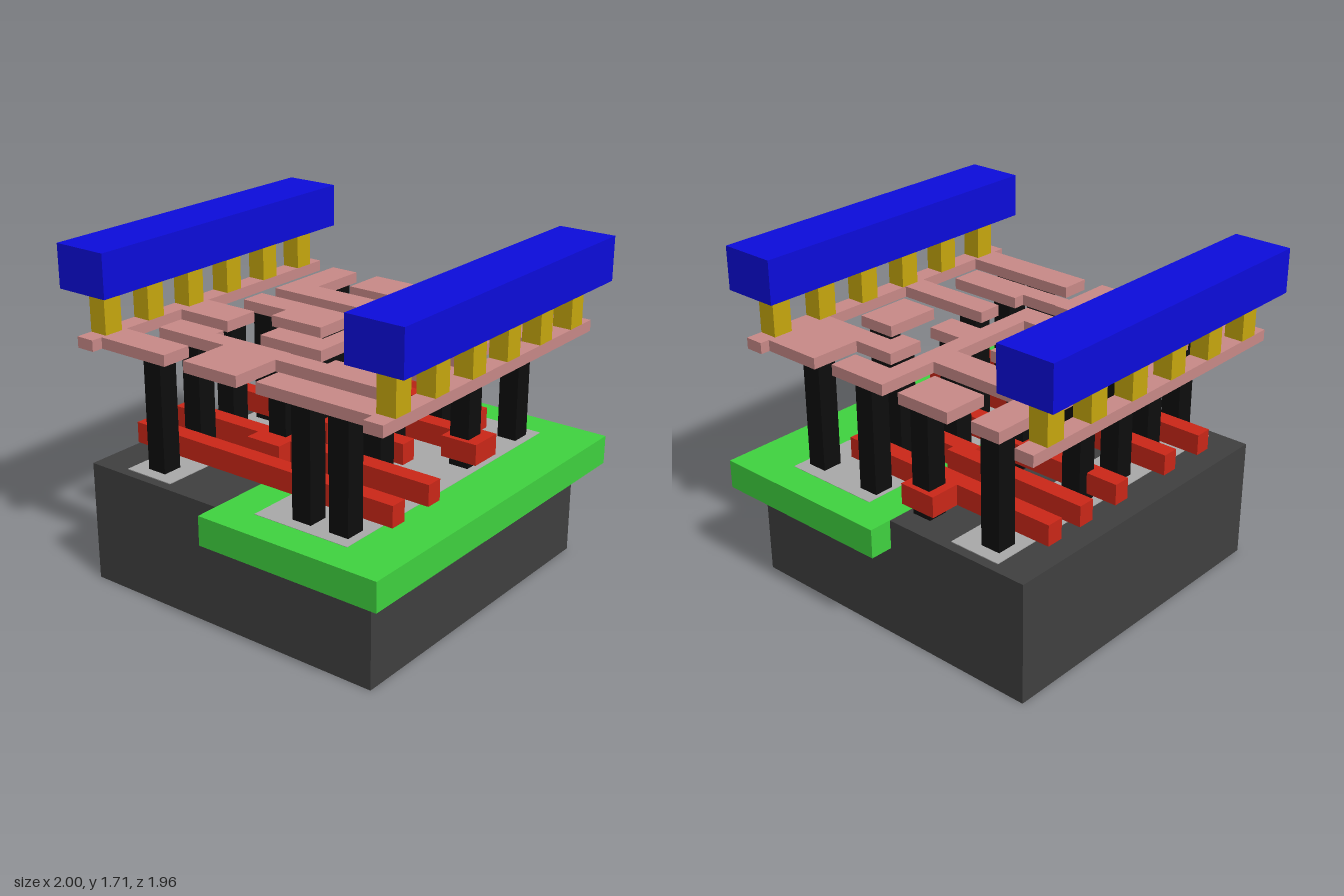
import * as THREE from 'three';

const paint = (color) => new THREE.MeshStandardMaterial({ color });
const GREY = paint(0x404040), GREEN = paint(0x40d440), SILVER = paint(0xaaaaaa), RED = paint(0xcc2718),
  BLACK = paint(0x0d0d0d), PINK = paint(0xc98a88), GOLD = paint(0xc8a80e), BLUE = paint(0x0c0cdc);

export function createModel() {
  const model = new THREE.Group();

  // Box given by its limits on each axis
  const slab = (parent, name, mat, x0, x1, y0, y1, z0, z1) => {
    const mesh = new THREE.Mesh(new THREE.BoxGeometry(x1 - x0, y1 - y0, z1 - z0), mat);
    mesh.position.set((x0 + x1) / 2, (y0 + y1) / 2, (z0 + z1) / 2);
    mesh.name = name;
    parent.add(mesh);
  };
  // Flat layer made of [x0, x1, z0, z1] rectangles sharing one height
  const layer = (name, part, mat, y0, y1, rects) => {
    const group = new THREE.Group();
    group.name = name;
    for (const [x0, x1, z0, z1] of rects) slab(group, part, mat, x0, x1, y0, y1, z0, z1);
    model.add(group);
  };

  // Base block, well and the two inlaid strips
  slab(model, 'base', GREY, -0.85, 0.85, 0, 0.628, -0.86, 0.86);
  slab(model, 'well', GREEN, -0.04, 0.965, 0.48, 0.63, -0.98, 0.98);
  layer('inlays', 'inlay', SILVER, 0.6, 0.632, [
    [-0.66, -0.38, -0.81, 0.81], [0.15, 0.68, -0.81, 0.81],
  ]);

  // Red gate bars with their widened pads
  layer('gates', 'gateBar', RED, 0.675, 0.783, [
    [-0.78, 0.48, -0.61, -0.52], [-0.23, -0.03, -0.77, -0.61],
    [-0.78, 0.04, -0.39, -0.3], [-0.06, 0.7, -0.35, -0.26], [0.5, 0.7, -0.26, -0.17],
    [-0.78, -0.23, -0.13, -0.04], [-0.23, -0.03, -0.13, 0.05], [-0.03, 0.42, -0.055, 0.035],
    [-0.78, 0.78, 0.25, 0.34], [-0.23, -0.03, 0.34, 0.42],
    [-0.78, 0.78, 0.525, 0.615],
  ]);

  // Black square pillars between the base and the wiring
  const pillars = [
    [-0.555, -0.69], [-0.555, -0.13], [-0.555, 0.16], [-0.525, 0.435], [-0.525, 0.695],
    [-0.13, -0.69], [-0.13, -0.04], [-0.13, 0.26],
    [0.225, -0.69], [0.585, -0.69], [0.31, -0.43], [0.225, -0.13], [0.585, -0.25],
    [0.375, 0.175], [0.375, 0.435], [0.375, 0.695], [0.585, 0.695],
  ];
  const r = 0.053;
  layer('pillars', 'pillar', BLACK, 0.63, 1.215,
    pillars.map(([x, z]) => [x - r, x + r, z - r, z + r]));

  // Pink wiring: side rails, their tabs and the inner tracks
  layer('wiring', 'track', PINK, 1.215, 1.272, [
    [-0.9, -0.8, -0.86, 0.86], [0.8, 0.9, -0.86, 0.86],
    [-0.8, -0.49, 0.055, 0.255], [-0.8, -0.39, 0.635, 0.8],
    [0.48, 0.8, -0.81, -0.42], [0.27, 0.8, 0.11, 0.24], [0.165, 0.8, 0.645, 0.8],
    [0.25, 0.48, -0.54, -0.42], [0.25, 0.37, -0.42, -0.34],
    [-0.66, -0.5, -0.8, -0.31], [-0.5, 0.04, -0.47, -0.31],
    [0.04, 0.14, -0.8, 0.31], [0.14, 0.37, -0.8, -0.65],
    [0.14, 0.33, -0.19, -0.04], [-0.23, 0.04, 0.17, 0.31],
    [-0.37, -0.07, -0.81, -0.575],
    [-0.66, -0.38, -0.2, -0.06], [-0.38, -0.07, -0.2, 0.05],
    [0.48, 0.69, -0.31, -0.01],
    [-0.69, -0.41, 0.37, 0.525], [-0.41, -0.27, 0.42, 0.525], [-0.27, 0.05, 0.42, 0.8],
    [0.05, 0.27, 0.425, 0.53], [0.27, 0.685, 0.365, 0.53],
  ]);

  // Gold posts carrying a blue beam on each side
  for (const s of [-1, 1]) {
    const side = new THREE.Group();
    side.name = s > 0 ? 'leftBeamAssembly' : 'rightBeamAssembly';
    for (let i = 0; i < 6; i++) {
      const z = -0.718 + i * 0.2872;
      slab(side, 'post', GOLD, s * 0.85 - 0.05, s * 0.85 + 0.05, 1.272, 1.49, z - r, z + r);
    }
    slab(side, 'beam', BLUE, s * 0.85 - 0.15, s * 0.85 + 0.15, 1.49, 1.713, -0.86, 0.86);
    model.add(side);
  }
  return model;
}
